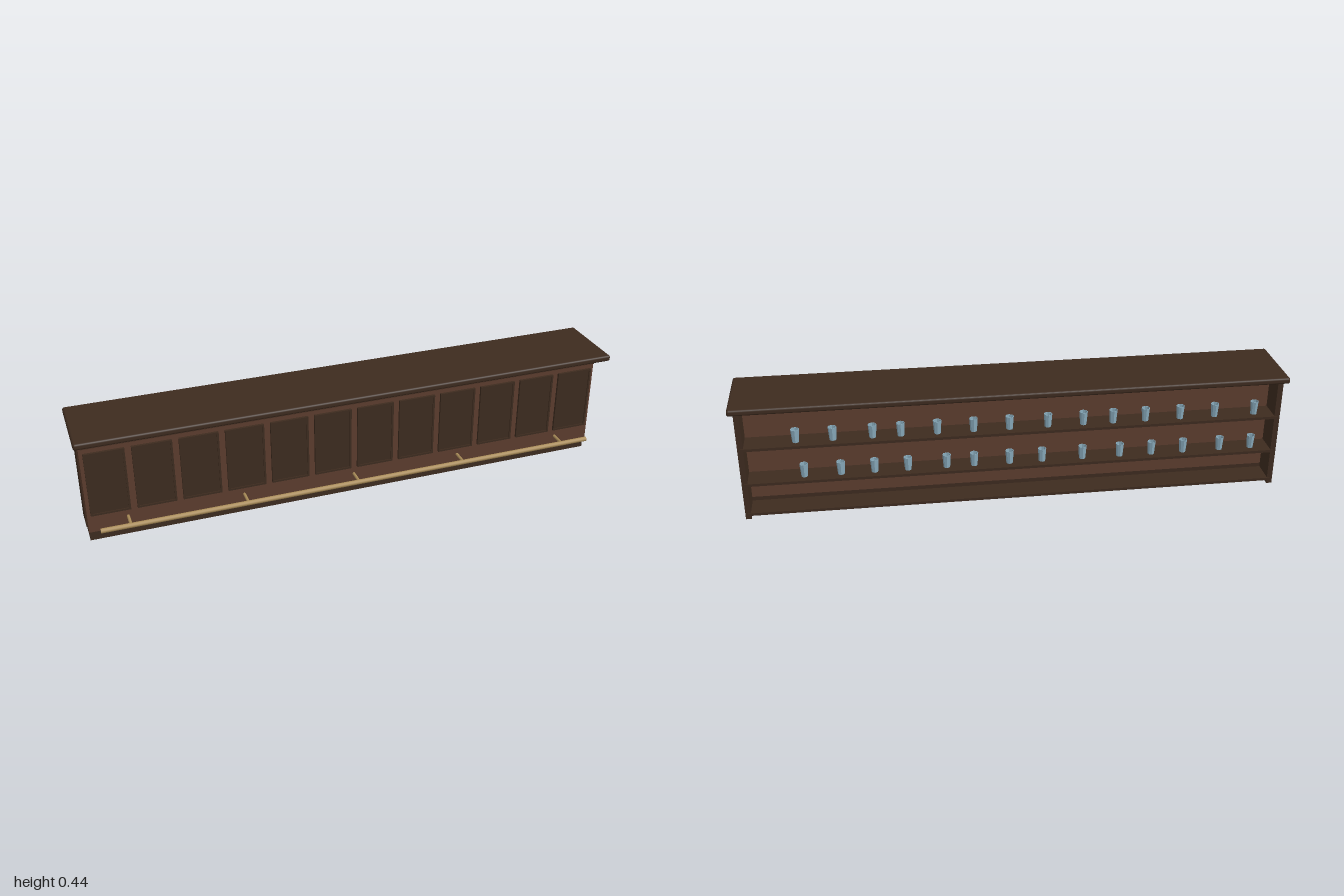
import * as THREE from 'three';
import { RoundedBoxGeometry } from 'three/addons/geometries/RoundedBoxGeometry.js';

export function createModel() {
  const mat = (name, color, side = THREE.FrontSide) => {
    const m = new THREE.MeshStandardMaterial({ color, side });
    m.name = name;
    return m;
  };
  const wood = mat('red brown wood', 0x5c3d2e);
  const dark = mat('dark wood', 0x3d2b1f);
  const trim = mat('trim wood', 0x4a3225);
  const brass = mat('brass', 0xaa8c58);
  const glass = mat('blue glass', 0x88aabb, THREE.DoubleSide);
  glass.flatShading = true;

  const root = new THREE.Group();
  root.name = 'barCounter';

  const add = (name, geometry, material, x, y, z, parent = root) => {
    const mesh = new THREE.Mesh(geometry, material);
    mesh.name = name;
    mesh.position.set(x, y, z);
    parent.add(mesh);
    return mesh;
  };
  // Box given by its y and z limits, centred on x
  const slab = (name, material, x, width, y0, y1, z0, z1, parent) =>
    add(name, new THREE.BoxGeometry(width, y1 - y0, z1 - z0), material, x, (y0 + y1) / 2, (z0 + z1) / 2, parent);

  // Main carcass
  add('counterTop', new RoundedBoxGeometry(2, 0.023, 0.28, 3, 0.008), dark, 0, 0.4295, 0);
  slab('frontBody', wood, 0, 1.96, 0.04, 0.419, -0.04, 0.06);
  slab('plinth', dark, 0, 1.956, 0, 0.04, -0.04, 0.049);
  slab('topTrim', trim, 0, 1.95, 0.38, 0.4, 0.06, 0.073);
  for (const s of [-1, 1]) slab('endPanel', dark, s * 0.97, 0.02, 0, 0.416, -0.127, -0.04);

  // Framed front panels
  const frame = new THREE.Shape();
  const w = 0.07, h = 0.1235, b = 0.007;
  frame.moveTo(-w, -h).lineTo(w, -h).lineTo(w, h).lineTo(-w, h).closePath();
  const hole = new THREE.Path();
  hole.moveTo(-w + b, -h + b).lineTo(-w + b, h - b).lineTo(w - b, h - b).lineTo(w - b, -h + b).closePath();
  frame.holes.push(hole);
  const frameGeometry = new THREE.ExtrudeGeometry(frame, { depth: 0.009, bevelEnabled: false });
  for (let i = 0; i < 12; i++) {
    const panel = new THREE.Group();
    panel.name = 'frontPanel';
    panel.position.set((i - 5.5) * 0.1632, 0.234, 0.06);
    root.add(panel);
    add('panelFrame', frameGeometry, dark, 0, 0, 0, panel);
    slab('panelBoard', dark, 0, 2 * (w - b), -h + b, h - b, 0, 0.005, panel);
  }

  // Foot rail on brackets
  const rail = add('footRail', new THREE.CylinderGeometry(0.009, 0.009, 1.89, 12), brass, 0, 0.08, 0.122);
  rail.rotation.z = Math.PI / 2;
  for (let i = -2; i <= 2; i++) {
    const bracket = add('railBracket', new THREE.CylinderGeometry(0.0055, 0.0055, 0.062, 8), brass, i * 0.42, 0.08, 0.091);
    bracket.rotation.x = Math.PI / 2;
  }

  // Back shelves
  for (const y of [0.02, 0.14, 0.28]) slab('shelf', dark, 0, 1.94, y - 0.005, y + 0.005, -0.131, -0.04);

  // Tumblers on the two upper shelves, unevenly spaced
  const profile = [[0, 0], [0.012, 0], [0.0155, 0.05], [0.0135, 0.05], [0.0105, 0.005], [0, 0.005]]
    .map(([r, y]) => new THREE.Vector2(r, y));
  const tumbler = new THREE.LatheGeometry(profile, 8);
  const rows = [
    [0.28, [0.78, 0.65, 0.51, 0.41, 0.28, 0.15, 0.02, -0.12, -0.25, -0.36, -0.48, -0.61, -0.74, -0.89]],
    [0.14, [0.76, 0.63, 0.51, 0.39, 0.25, 0.15, 0.02, -0.1, -0.25, -0.39, -0.51, -0.63, -0.77, -0.89]],
  ];
  for (const [y, xs] of rows) for (const x of xs) add('tumbler', tumbler, glass, x, y + 0.005, -0.095);

  return root;
}
